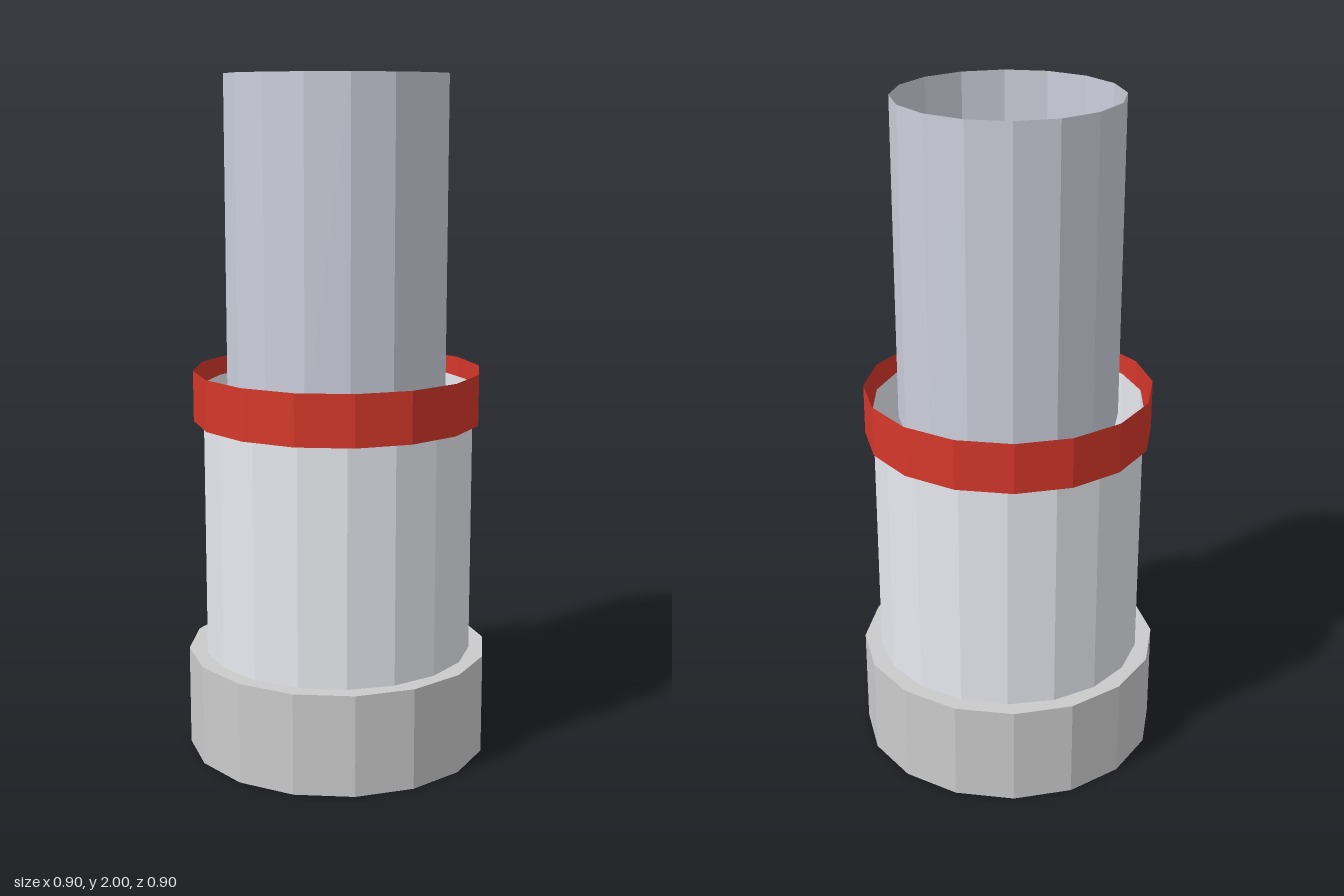
import * as THREE from 'three';

// Faceted upright cylinder spanning y0..y1; open ones are thin shells
function tube(name, radius, y0, y1, sides, color, open = true) {
  const geometry = new THREE.CylinderGeometry(radius, radius, y1 - y0, sides, 1, open);
  geometry.translate(0, (y0 + y1) / 2, 0);
  const material = new THREE.MeshStandardMaterial({
    color,
    flatShading: true,
    side: open ? THREE.DoubleSide : THREE.FrontSide,
  });
  const mesh = new THREE.Mesh(geometry, material);
  mesh.name = name;
  return mesh;
}

export function createModel() {
  const group = new THREE.Group();
  group.name = 'telescopicTube';
  group.add(
    // Solid foot
    tube('base', 0.45, 0, 0.3, 16, 0xcccccc, false),
    // Wide lower sleeve, its rim hidden inside the collar
    tube('outerTube', 0.4, 0.3, 1.1, 18, 0xe8eaf0),
    // Loose red band around the joint
    tube('collarRing', 0.425, 1.0, 1.15, 16, 0xd5372a),
    // Narrow upper tube, open at the top
    tube('innerTube', 0.325, 1.05, 2, 16, 0xccd0dc),
  );
  return group;
}
